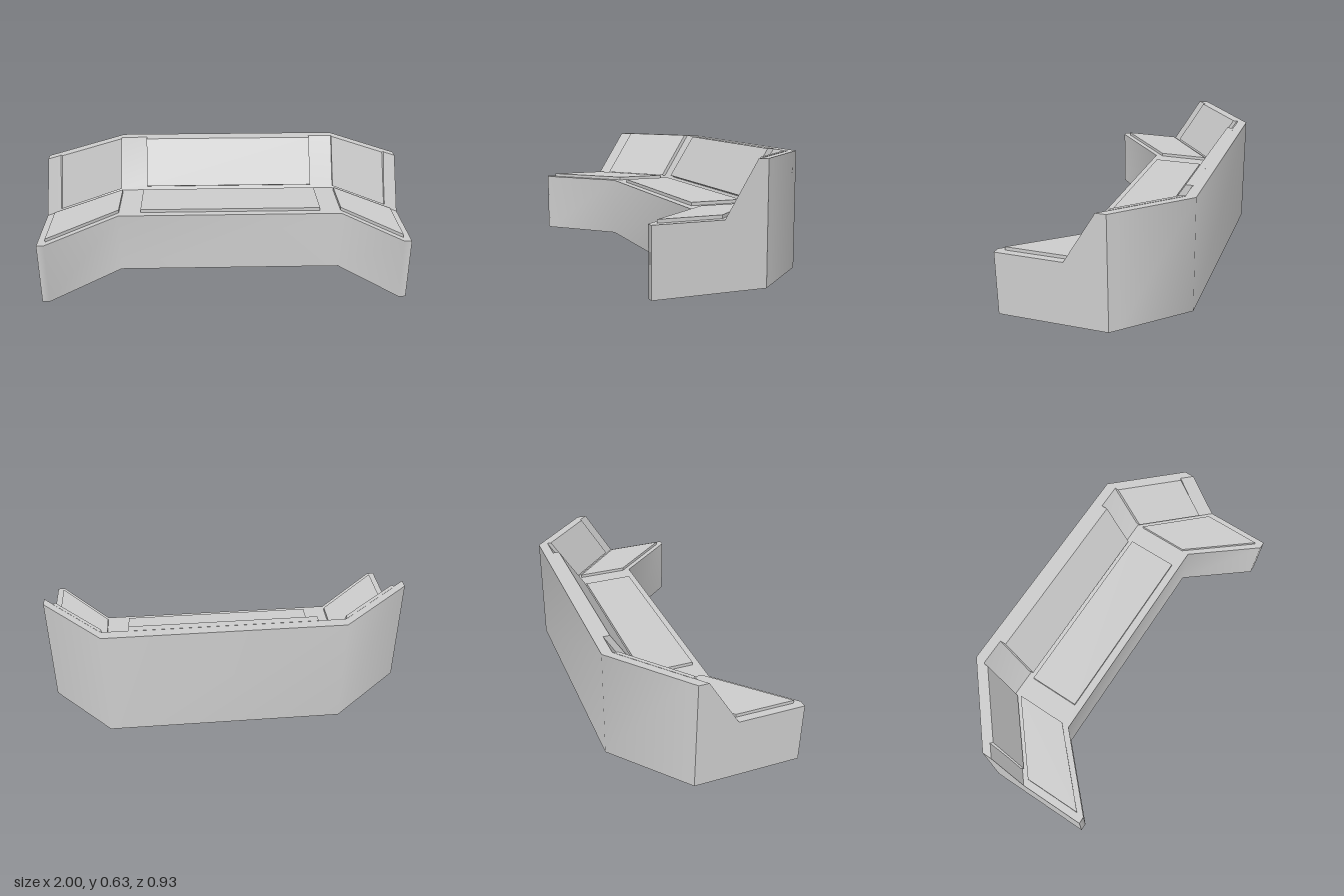
import * as THREE from 'three';

const SEAT = 0.347, TOP = 0.625;
const LEFT_BEND = -0.6, RIGHT_BEND = 0.68;

// Plan lines: z of the rear wall and of the front edge at a given x
const rear = x => x < LEFT_BEND ? -0.465 + (LEFT_BEND - x) * 0.85
  : x > RIGHT_BEND ? -0.465 + (x - RIGHT_BEND) * 1.063 : -0.465;
const front = x => Math.min(0.465, x < LEFT_BEND ? 0.12 + (LEFT_BEND - x) * 0.958
  : x > RIGHT_BEND ? 0.12 + (x - RIGHT_BEND) * 1.232 : 0.12);

// Lofts a closed cross-section along x: smooth along each strip, sharp between strips.
// profile(x) gives [z offset from the rear wall, y, optional x shift] per corner.
function loft(name, xs, profile, material) {
  const rings = xs.map(x => profile(x).map(([o, y, dx = 0]) =>
    new THREE.Vector3(x + dx, y, rear(x + dx) + o)));
  const pos = [], idx = [];
  const add = p => pos.push(p.x, p.y, p.z) / 3 - 1;
  const n = rings[0].length;
  for (let k = 0; k < n; k++) {
    const strip = rings.map(r => [add(r[k]), add(r[(k + 1) % n])]);
    for (let i = 0; i + 1 < strip.length; i++) {
      const [a, b] = strip[i], [c, d] = strip[i + 1];
      idx.push(a, c, d, a, d, b);
    }
  }
  // End caps
  [rings[0], rings[rings.length - 1]].forEach((ring, end) => {
    const ids = ring.map(add);
    const flat = ring.map(p => new THREE.Vector2(p.z, p.y));
    for (const [a, b, c] of THREE.ShapeUtils.triangulateShape(flat, []))
      idx.push(ids[a], ids[end ? c : b], ids[end ? b : c]);
  });
  const g = new THREE.BufferGeometry();
  g.setAttribute('position', new THREE.Float32BufferAttribute(pos, 3));
  g.setIndex(idx);
  g.computeVertexNormals();
  const mesh = new THREE.Mesh(g, material);
  mesh.name = name;
  return mesh;
}

export function createModel() {
  const group = new THREE.Group();
  group.name = 'angledSofa';
  const mat = new THREE.MeshStandardMaterial({ color: 0xcccccc });

  // Body: base, seat and sloped backrest in one angled run
  group.add(loft('body', [-1, -0.96, LEFT_BEND, RIGHT_BEND, 0.96, 1], x => {
    const f = front(x) - rear(x);
    return [[f, 0], [f, SEAT], [0.225, SEAT], [0.055, TOP], [0, TOP], [0, 0]];
  }, mat));

  // Seat cushions
  const seatPad = (name, x0, x1) => group.add(loft(name, [x0, x1], x => {
    const f = front(x) - 0.042 - rear(x);
    return [[f, SEAT - 0.01], [f, 0.365], [0.26, 0.365], [0.26, SEAT - 0.01]];
  }, mat));
  seatPad('rightSeatCushion', -0.96, LEFT_BEND);
  seatPad('middleSeatCushion', -0.475, 0.56);
  seatPad('leftSeatCushion', RIGHT_BEND, 0.963);

  // Middle back cushion
  group.add(loft('middleBackCushion', [-0.455, 0.54], () =>
    [[0.205, 0.36], [0.245, 0.38], [0.09, 0.627], [0.05, 0.627]], mat));

  // Wing back cushions, thinner, with outer ends square to the wing
  const wingBack = (name, x0, x1) => group.add(loft(name, [x0, x1], x => {
    const s = Math.abs(x) > 0.8 ? -0.014 * Math.sign(x) : 0;
    return [[0.2, 0.36], [0.237, 0.364, s], [0.076, 0.627, s], [0.05, 0.627]];
  }, mat));
  wingBack('rightBackCushion', -0.94, -0.608);
  wingBack('leftBackCushion', RIGHT_BEND, 0.95);

  return group;
}
